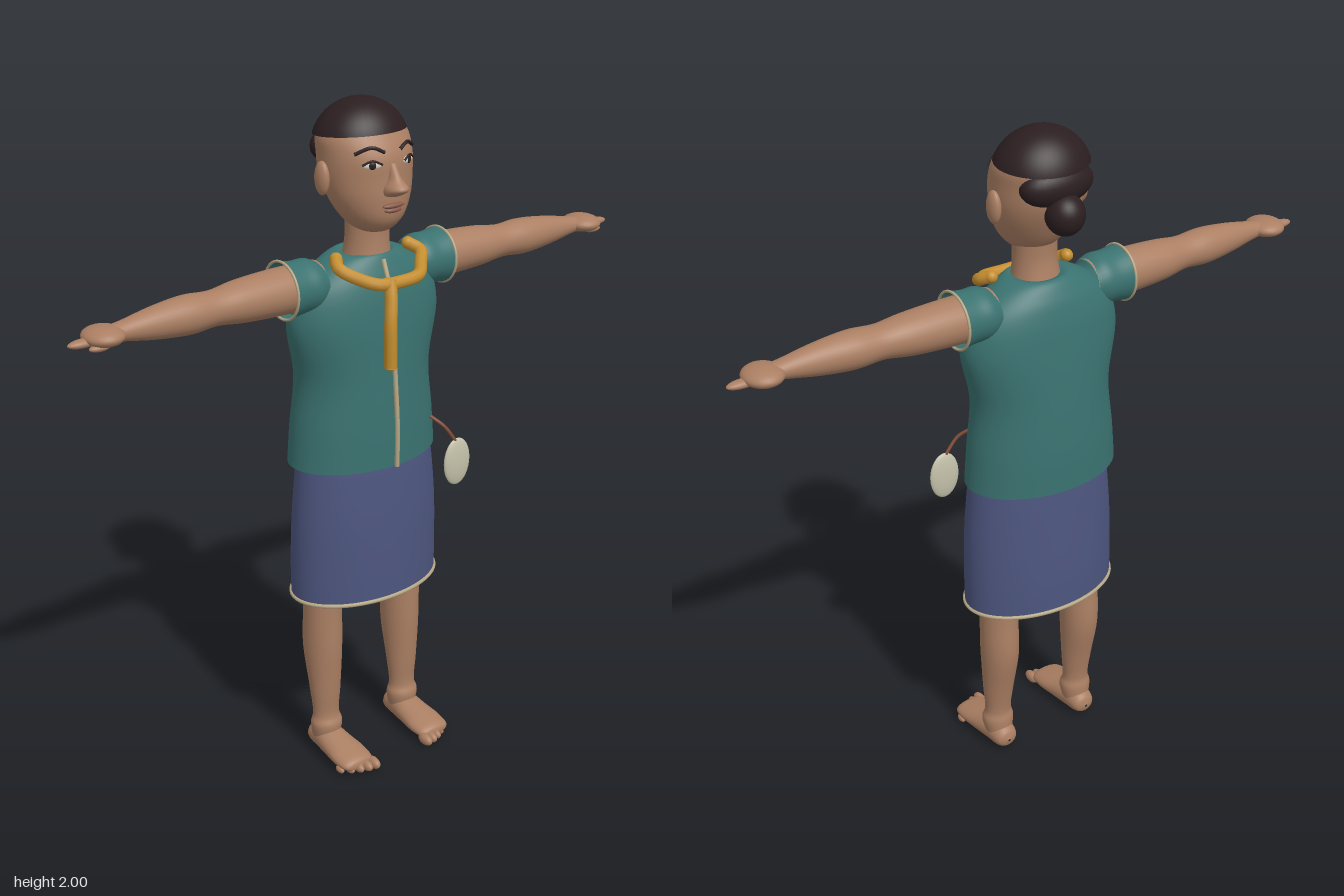
import * as THREE from 'three';

const mat = (name, color, side = THREE.FrontSide) => {
  const m = new THREE.MeshStandardMaterial({ color, side });
  m.name = name;
  return m;
};
const V = (p) => new THREE.Vector3(...p);

export function createModel() {
  const model = new THREE.Group();
  const skin = mat('skin', 0xab7f63);
  const teal = mat('teal cloth', 0x3a7270, THREE.DoubleSide);
  const blue = mat('blue cloth', 0x4d567f, THREE.DoubleSide);
  const hair = mat('dark hair', 0x2b1e20);
  const gold = mat('gold scarf', 0xc48e30);
  const cream = mat('cream trim', 0xb5a684);
  const shell = mat('pale pouch', 0xc4c2aa);
  const cordMat = mat('brown cord', 0x85503a);
  const lipMat = mat('lips', 0x8a5a4a);
  const white = mat('eye white', 0xddd3c6);

  const add = (name, geo, material, parent = model) => {
    const m = new THREE.Mesh(geo, material);
    m.name = name;
    parent.add(m);
    return m;
  };
  // Skin of elliptical sections [y, rx, zCentre, rz], smoothed along y
  const loft = (sections, rows = 28, n = 36) => {
    const a = new THREE.CatmullRomCurve3(sections.map(([y, rx, zc]) => new THREE.Vector3(rx, y, zc)), false, 'centripetal');
    const b = new THREE.CatmullRomCurve3(sections.map(([y, , , rz]) => new THREE.Vector3(rz, y, 0)), false, 'centripetal');
    const pos = [], idx = [];
    for (let j = 0; j <= rows; j++) {
      const p = a.getPoint(j / rows), rz = b.getPoint(j / rows).x;
      for (let i = 0; i < n; i++) {
        const t = (i / n) * Math.PI * 2;
        pos.push(p.x * Math.cos(t), p.y, p.z + rz * Math.sin(t));
        if (j < rows) {
          const c = j * n + i, d = j * n + (i + 1) % n;
          idx.push(c, c + n, d, d, c + n, d + n);
        }
      }
    }
    const g = new THREE.BufferGeometry();
    g.setAttribute('position', new THREE.Float32BufferAttribute(pos, 3));
    g.setIndex(idx);
    g.computeVertexNormals();
    return g;
  };
  const ball = (name, p, r, material, parent = model) => {
    const m = add(name, new THREE.SphereGeometry(1, 28, 18), material, parent);
    m.position.set(...p);
    m.scale.set(...r);
    return m;
  };
  const tube = (name, pts, r, material, parent = model, closed = false, tension = 0.5) =>
    add(name, new THREE.TubeGeometry(new THREE.CatmullRomCurve3(pts.map(V), closed, 'catmullrom', tension), closed ? 64 : 32, r, 10, closed), material, parent);
  const ring = (name, y, rx, zc, rz, r, material, parent) => {
    const pts = [];
    for (let i = 0; i < 24; i++) {
      const t = (i / 24) * Math.PI * 2;
      pts.push([rx * Math.cos(t), y, zc + rz * Math.sin(t)]);
    }
    return tube(name, pts, r, material, parent, true);
  };

  // Head, neck and nose
  add('head', loft([[1.643, .003, .03, .003], [1.65, .045, .03, .05], [1.685, .085, .025, .09], [1.74, .116, .012, .112],
    [1.8, .131, -.002, .124], [1.86, .134, -.008, .126], [1.91, .13, -.02, .114], [1.96, .09, -.025, .08], [1.98, .005, -.025, .005]], 40), skin);
  add('neck', loft([[1.53, .08, 0, .075], [1.585, .068, .003, .063], [1.63, .064, .005, .058], [1.7, .066, .005, .06]]), skin);
  add('nose', loft([[1.755, .004, .12, .006], [1.762, .03, .122, .024], [1.78, .032, .128, .046],
    [1.805, .018, .122, .028], [1.845, .011, .112, .012]], 20, 20), skin);
  ball('upperLip', [0, 1.731, .122], [.036, .008, .011], lipMat);
  ball('lowerLip', [0, 1.718, .12], [.028, .008, .011], lipMat);

  // Ears, eyes and brows
  for (const s of [-1, 1]) {
    const side = s > 0 ? 'left' : 'right';
    ball(side + 'Ear', [s * .14, 1.8, -.01], [.017, .047, .027], skin);
    const eye = new THREE.Group();
    eye.name = side + 'Eye';
    eye.position.set(s * .06, 1.845, .106);
    eye.rotation.y = s * .45;
    model.add(eye);
    ball('eyeWhite', [0, 0, 0], [.026, .011, .006], white, eye);
    ball('iris', [0, 0, .003], [.011, .011, .005], hair, eye);
    tube('eyelid', [[-.028, .001, .003], [0, .013, .006], [.028, .001, .001]], .003, hair, eye);
    tube(side + 'Brow', [[s * .025, 1.877, .115], [s * .06, 1.891, .102], [s * .098, 1.874, .077]], .005, hair);
  }

  // Hair cap with flat underside, back roll and bun
  const cap = new THREE.Group();
  cap.name = 'hairCap';
  cap.position.set(0, 1.87, -.025);
  cap.scale.set(.141, .13, .124);
  cap.rotation.x = -.08;
  model.add(cap);
  add('hairDome', new THREE.SphereGeometry(1, 40, 20, 0, Math.PI * 2, 0, 1.27), hair, cap);
  const under = add('hairUnderside', new THREE.CircleGeometry(Math.sin(1.27), 40), hair, cap);
  under.rotation.x = Math.PI / 2;
  under.position.y = Math.cos(1.27);
  ball('backHair', [0, 1.862, -.095], [.112, .06, .057], hair);
  ball('bun', [0, 1.79, -.135], [.055, .058, .055], hair);

  // Shirt with front edging
  add('shirt', loft([[.97, .24, -.022, .158], [1.08, .23, -.022, .156], [1.23, .216, -.02, .147], [1.4, .247, -.015, .132],
    [1.49, .222, -.014, .118], [1.545, .165, -.013, .1], [1.582, .09, -.008, .075], [1.575, .06, 0, .06]], 48, 56), teal);
  tube('shirtEdging', [[0, .972, .146], [0, 1.1, .146], [0, 1.23, .136], [0, 1.4, .122], [0, 1.5, .104], [0, 1.57, .078]], .007, cream);

  // Skirt and hem
  add('skirt', loft([[.55, .244, -.012, .152], [.65, .244, -.012, .153], [.8, .239, -.01, .15], [.95, .224, -.01, .143], [.985, .218, -.01, .14]], 28, 56), blue);
  ring('skirtHem', .552, .244, -.012, .153, .006, cream);

  // Arms, sleeves and hands, built along y then laid out sideways
  for (const s of [-1, 1]) {
    const arm = new THREE.Group();
    arm.name = s > 0 ? 'leftArm' : 'rightArm';
    arm.position.y = 1.51;
    arm.rotation.z = -s * Math.PI / 2;
    model.add(arm);
    add('armSkin', loft([[.16, .064, -.015, .065], [.28, .065, -.015, .068], [.42, .058, -.012, .062], [.5, .048, -.008, .052],
      [.58, .053, -.006, .055], [.68, .044, -.003, .044], [.78, .026, 0, .03], [.82, .02, 0, .03]], 32, 28), skin, arm);
    add('sleeve', loft([[.16, .06, -.015, .068], [.19, .074, -.015, .077], [.23, .074, -.015, .077], [.275, .081, -.015, .08]], 16), teal, arm);
    ring('sleeveHem', .275, .081, -.015, .08, .004, cream, arm);
    ball('palm', [0, .83, 0], [.026, .056, .062], skin, arm);
    ball('fingers', [s * .008, .885, 0], [.012, .046, .018], skin, arm);
    ball('thumb', [s * .02, .855, .025], [.01, .03, .014], skin, arm);
  }

  // Legs, feet and toes
  for (const s of [-1, 1]) {
    const leg = new THREE.Group();
    leg.name = s > 0 ? 'leftLeg' : 'rightLeg';
    leg.position.x = s * .148;
    model.add(leg);
    add('shin', loft([[.05, .042, -.01, .042], [.1, .05, -.006, .044], [.13, .042, -.008, .036], [.22, .048, -.012, .045],
      [.36, .057, -.022, .063], [.5, .058, -.02, .06], [.7, .062, -.018, .062]], 32, 28), skin, leg);
    add('foot', loft([[-.072, .004, -.04, .004], [-.06, .033, -.042, .03], [0, .045, -.046, .043], [.06, .053, -.04, .036],
      [.12, .058, -.034, .027], [.16, .048, -.03, .018], [.17, .005, -.028, .004]], 28, 28), skin, leg).rotation.x = Math.PI / 2;
    for (let i = 0; i < 5; i++) {
      const r = .018 - i * .0017;
      ball('toe', [s * (-.046 + i * .024), r + .003, .17 - i * i * .0025], [r * .85, r, r * 1.6], skin, leg);
    }
  }

  // Scarf: open loop over the chest and a hanging tail
  tube('scarfLoop', [[-.125, 1.582, .03], [-.142, 1.566, .065], [-.115, 1.545, .1], [-.07, 1.528, .145], [0, 1.524, .152],
    [.07, 1.528, .145], [.115, 1.545, .1], [.142, 1.566, .065], [.125, 1.582, .03]], .018, gold);
  for (const s of [-1, 1]) ball('scarfEnd', [s * .125, 1.582, .03], [.018, .018, .018], gold);
  tube('scarfTail', [[-.032, 1.535, .15], [-.042, 1.48, .168], [-.053, 1.41, .18], [-.052, 1.295, .18]], .018, gold);
  ball('scarfTip', [-.052, 1.295, .18], [.018, .006, .018], gold);

  // Waist pouch on its cord
  ball('pouch', [.222, .927, .148], [.048, .074, .013], shell);
  tube('pouchCord', [[.148, 1.078, .112], [.18, 1.045, .14], [.215, .995, .148]], .005, cordMat);

  return model;
}
